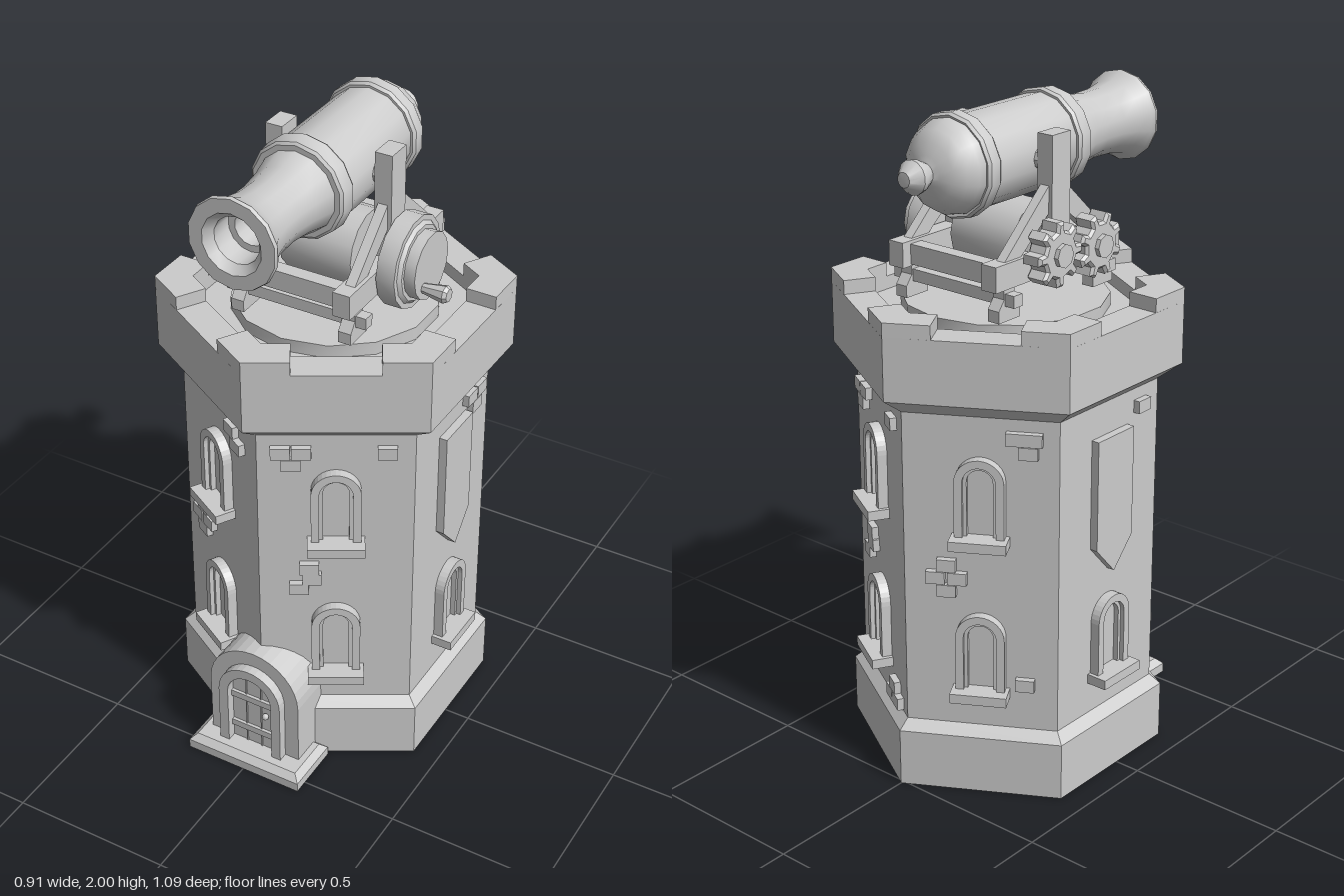
import * as THREE from 'three';
import { toCreasedNormals } from 'three/addons/utils/BufferGeometryUtils.js';

const flat = new THREE.MeshStandardMaterial({ color: 0xcccccc, flatShading: true });
const smooth = new THREE.MeshStandardMaterial({ color: 0xcccccc });
const V = (x, y) => new THREE.Vector2(x, y);
const CZ = -0.027; // tower axis

function add(parent, name, geo, x = 0, y = 0, z = 0, mat = flat) {
  const m = new THREE.Mesh(geo, mat);
  m.name = name;
  m.position.set(x, y, z);
  parent.add(m);
  return m;
}
function group(parent, name, x = 0, y = 0, z = 0) {
  const g = new THREE.Group();
  g.name = name;
  g.position.set(x, y, z);
  parent.add(g);
  return g;
}
const box = (parent, name, w, h, d, x, y, z) => add(parent, name, new THREE.BoxGeometry(w, h, d), x, y, z);
const extrude = (shape, depth, bevel = 0) => new THREE.ExtrudeGeometry(shape, {
  depth, curveSegments: 8, bevelEnabled: bevel > 0, bevelSize: bevel, bevelThickness: bevel, bevelOffset: -bevel, bevelSegments: 1,
});
// cylinder lying along x
function axle(parent, name, r, x0, x1, y, z, sides = 12, r1 = r) {
  const g = new THREE.CylinderGeometry(r1, r, x1 - x0, sides).rotateZ(-Math.PI / 2);
  return add(parent, name, toCreasedNormals(g, 0.6), (x0 + x1) / 2, y, z, smooth);
}

// round-headed outline standing on y = 0
function arch(w, h, Type = THREE.Shape) {
  const s = new Type(), r = w / 2;
  s.moveTo(-r, 0);
  s.lineTo(r, 0);
  s.lineTo(r, h - r);
  s.absarc(0, h - r, r, 0, Math.PI, false);
  s.lineTo(-r, 0);
  return s;
}
function archFrame(w, h, t, depth) {
  const s = arch(w, h);
  s.holes.push(arch(w - 2 * t, h - t, THREE.Path));
  return extrude(s, depth);
}

function addWindow(face, y) {
  const w = group(face, 'window', 0, y, 0);
  add(w, 'windowFrame', archFrame(0.145, 0.25, 0.024, 0.03), 0, 0.02, 0);
  add(w, 'windowInnerFrame', archFrame(0.1, 0.227, 0.012, 0.016), 0, 0.02, 0);
  box(w, 'windowSill', 0.168, 0.03, 0.066, 0, 0.015, 0.032);
}

function addBricks(face, list) {
  for (const [u, y] of list) box(face, 'brick', 0.056, 0.038, 0.04, u, y, 0);
}

// brick patterns, offset by u and y
const tee = (u, y) => [[u - 0.03, y + 0.02], [u + 0.03, y + 0.02], [u, y - 0.02]];
const pair = (u, y) => [[u - 0.018, y + 0.02], [u + 0.018, y - 0.02]];
const stagger = (u, y) => [[u + 0.022, y + 0.038], [u - 0.03, y], [u + 0.03, y], [u - 0.008, y - 0.036]].slice(0, 4);
const plus = (u, y) => [[u, y + 0.04], [u - 0.032, y], [u + 0.032, y], [u, y - 0.04]];

function buildTower(root) {
  const t = group(root, 'tower', 0, 0, CZ);
  const profile = [[0, 0], [0.485, 0], [0.485, 0.18], [0.45, 0.21], [0.45, 1.19], [0.52, 1.24],
    [0.52, 1.43], [0.41, 1.43], [0.41, 1.39], [0, 1.39]].map(p => V(...p));
  add(t, 'towerBody', new THREE.LatheGeometry(profile, 6));

  // corner merlons
  const plan = new THREE.Shape([[0, 0.52], [-0.117, 0.452], [-0.069, 0.37], [0, 0.41], [0.069, 0.37], [0.117, 0.452]].map(p => V(...p)));
  const merlon = extrude(plan, 0.045).rotateX(-Math.PI / 2);
  for (let i = 0; i < 6; i++) add(t, 'merlon', merlon, 0, 1.427, 0).rotation.y = i * Math.PI / 3;

  // wall decoration, face by face
  const bricks = {
    30: [...tee(-0.128, 1.115), [0.145, 1.135], ...stagger(-0.1, 0.68).filter((b, i) => i !== 1)],
    90: tee(0.12, 1.115),
    150: [...tee(-0.128, 1.115), [0.15, 1.135], ...stagger(-0.09, 0.66).filter((b, i) => i !== 1), ...tee(0.13, 0.255).map(([u, y]) => [u, 0.51 - y])],
    210: [...pair(0.12, 1.115), [0.15, 1.135], ...plus(-0.1, 0.69), [0.13, 0.36]],
    270: [[0.14, 1.135]],
    330: [...pair(0.11, 1.115), ...plus(-0.1, 0.69)],
  };
  const banner = new THREE.Shape([V(-0.082, 1.09), V(-0.082, 0.75), V(0, 0.66), V(0.082, 0.75), V(0.082, 1.09)]);
  for (const deg of [30, 90, 150, 210, 270, 330]) {
    const a = deg * Math.PI / 180;
    const face = group(t, 'wallFace', 0.39 * Math.sin(a), 0, 0.39 * Math.cos(a));
    face.rotation.y = a;
    addWindow(face, 0.31);
    if (deg % 180 === 90) add(face, 'banner', extrude(banner, 0.025), 0, 0, 0);
    else addWindow(face, 0.8);
    addBricks(face, bricks[deg]);
  }
}

function buildDoor(root) {
  const d = group(root, 'doorway');
  // step with a sloped rim
  const s = new THREE.Shape([V(-0.195, -0.545), V(0.195, -0.545), V(0.195, -0.36), V(-0.195, -0.36)]);
  add(d, 'doorStepBase', extrude(s, 0.03).rotateX(-Math.PI / 2));
  add(d, 'doorStep', extrude(s, 0.01, 0.02).rotateX(-Math.PI / 2), 0, 0.02, 0);
  add(d, 'doorSurround', archFrame(0.31, 0.37, 0.048, 0.16), 0, 0.04, 0.31);
  add(d, 'doorArch', archFrame(0.216, 0.32, 0.032, 0.19), 0, 0.04, 0.31);
  add(d, 'door', extrude(arch(0.16, 0.29), 0.15), 0, 0.04, 0.32);
  for (const y of [0.11, 0.23]) box(d, 'doorBand', 0.15, 0.022, 0.012, 0, y, 0.474);
  for (const x of [-0.026, 0.026]) box(d, 'doorBatten', 0.004, 0.26, 0.006, x, 0.17, 0.471);
  add(d, 'doorKnob', new THREE.SphereGeometry(0.011, 8, 6), 0.045, 0.185, 0.48, smooth);
}

function buildCannon(root) {
  // radius and position along the barrel, breech to muzzle to bore
  const pts = [[0, -0.45], [0.022, -0.448], [0.05, -0.415], [0.047, -0.395], [0.032, -0.365], [0.05, -0.357], [0.085, -0.345],
    [0.115, -0.318], [0.132, -0.285], [0.137, -0.262], [0.144, -0.265], [0.151, -0.256], [0.151, -0.22], [0.144, -0.211], [0.137, -0.211],
    [0.137, 0.128], [0.144, 0.128], [0.15, 0.138], [0.146, 0.183], [0.138, 0.19], [0.122, 0.19], [0.106, 0.26], [0.098, 0.33],
    [0.1, 0.4], [0.112, 0.46], [0.13, 0.493], [0.137, 0.505], [0.134, 0.516], [0.092, 0.516], [0.07, 0.49], [0.07, 0.42],
    [0.05, 0.42], [0.05, 0.2], [0, 0.2]].map(p => V(...p));
  const geo = new THREE.LatheGeometry(pts, 14).rotateX(Math.PI / 2);
  add(root, 'cannonBarrel', toCreasedNormals(geo, 0.6), 0, 1.85, 0, smooth);
}

function buildGear(parent, y, z, turn) {
  const s = new THREE.Shape(), n = 8;
  for (let i = 0; i < n * 4; i++) {
    const a = (Math.floor(i / 4) + [-0.3, -0.18, 0.18, 0.3][i % 4]) / n * Math.PI * 2 + turn;
    const r = i % 4 === 1 || i % 4 === 2 ? 0.095 : 0.07;
    s[i ? 'lineTo' : 'moveTo'](r * Math.cos(a), r * Math.sin(a));
  }
  s.closePath();
  add(parent, 'gear', extrude(s, 0.052, 0.008).rotateY(-Math.PI / 2), -0.208, y, z);
  axle(parent, 'gearHub', 0.035, -0.282, -0.15, y, z, 8);
}

function buildCarriage(root) {
  const c = group(root, 'carriage');
  const plate = new THREE.CylinderGeometry(0.305, 0.305, 0.045, 14);
  add(c, 'turntable', toCreasedNormals(plate, 0.6), 0, 1.4075, CZ, smooth);

  for (const side of [-1, 1]) {
    const x = side * 0.173;
    box(c, 'sideBeam', 0.054, 0.075, 0.55, x, 1.572, CZ);
    box(c, 'uprightPost', 0.054, 0.33, 0.08, x, 1.765, CZ + 0.005);
    for (const e of [-1, 1]) {
      // brace leaning against the post
      const brace = new THREE.Shape([V(0.03, 1.79), V(0.03, 1.71), V(0.165, 1.6), V(0.235, 1.6)]);
      const g = extrude(brace, 0.03).translate(0, 0, -0.015).rotateY(-Math.PI / 2 * e);
      add(c, 'brace', g, x, 0, CZ);
      // tapered foot
      const foot = new THREE.Shape([V(-0.045, 1.44), V(0.045, 1.44), V(0.045, 1.475), V(0.022, 1.505), V(0.022, 1.54), V(-0.022, 1.54), V(-0.022, 1.505), V(-0.045, 1.475)]);
      add(c, 'foot', extrude(foot, 0.04).translate(0, 0, -0.02).rotateY(Math.PI / 2), x, 0, CZ + e * 0.21);
    }
  }
  for (const e of [-1, 1]) {
    box(c, 'axleBar', 0.45, 0.036, 0.036, 0, 1.503, CZ + e * 0.21);
    box(c, 'crossBeam', 0.3, 0.06, 0.045, 0, 1.57, CZ + e * 0.22);
  }
  axle(c, 'trunnion', 0.035, -0.2, 0.2, 1.85, CZ, 10);
  axle(c, 'windingDrum', 0.115, -0.115, 0.115, 1.605, -0.02, 14);
  axle(c, 'drumShaft', 0.035, -0.2, 0.22, 1.605, -0.02, 10);

  // hand wheel with crank
  axle(c, 'handWheelRim', 0.138, 0.205, 0.262, 1.598, -0.025, 14);
  axle(c, 'handWheelFace', 0.122, 0.262, 0.272, 1.598, -0.025, 14, 0.112);
  axle(c, 'handWheelCap', 0.1, 0.27, 0.306, 1.598, -0.025, 14);
  axle(c, 'crankHandle', 0.014, 0.3, 0.375, 1.55, 0.02, 8, 0.027);
  axle(c, 'crankTip', 0.027, 0.375, 0.386, 1.55, 0.02, 8, 0.02);

  buildGear(c, 1.61, -0.1, 0);
  buildGear(c, 1.595, 0.082, Math.PI / 8);
}

export function createModel() {
  const root = new THREE.Group();
  root.name = 'cannonTower';
  buildTower(root);
  buildDoor(root);
  buildCannon(root);
  buildCarriage(root);
  return root;
}
